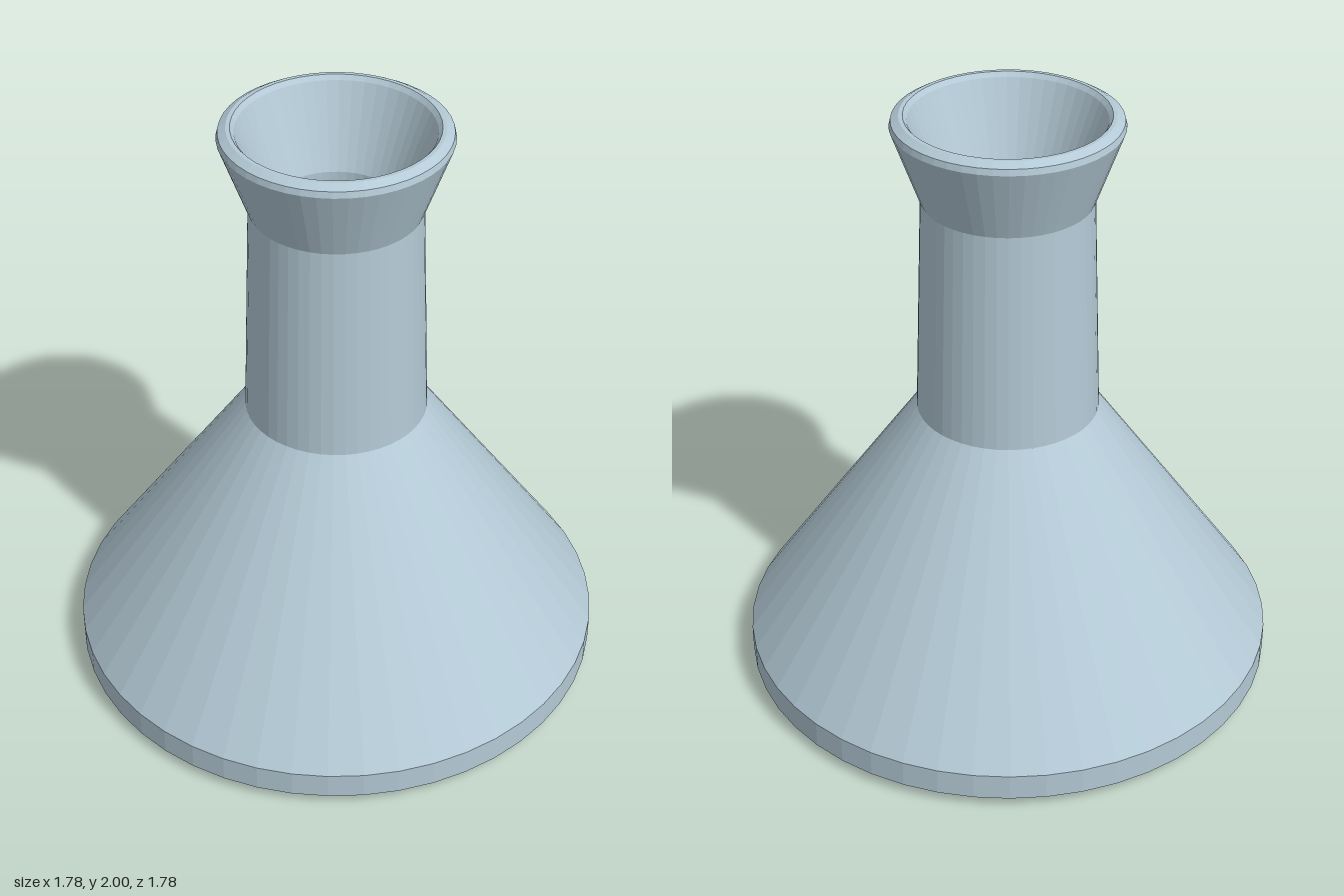
import * as THREE from 'three';

const SIDES = 48;

// Closed solid of revolution from [radius, height] pairs, listed up the outside
function lathe(name, profile, material) {
  const points = profile.map(([r, y]) => new THREE.Vector2(r, y));
  const mesh = new THREE.Mesh(new THREE.LatheGeometry(points, SIDES), material);
  mesh.name = name;
  return mesh;
}

export function createModel() {
  const glass = new THREE.MeshStandardMaterial({ color: 0xb4cad6, flatShading: true });
  glass.name = 'pale blue glass';
  const blue = new THREE.MeshStandardMaterial({ color: 0x0f9fd8, flatShading: true });
  blue.name = 'blue liquid';

  const flask = new THREE.Group();
  flask.name = 'conicalFlask';

  // Hollow glass: base, cone, neck and flared lip, then back down the inside
  flask.add(lathe('flaskBody', [
    [0, 0], [0.7, 0.01], [0.87, 0.02], [0.89, 0.035], [0.89, 0.125],
    [0.3, 0.97], [0.275, 1.715], [0.365, 1.965], [0.36, 1.985], [0.335, 2],
    [0.322, 2], [0.31, 1.985],
    [0.205, 1.715], [0.225, 0.95], [0.8, 0.13], [0.8, 0.07], [0, 0.07],
  ], glass));

  // Liquid filling the lower part of the cone
  flask.add(lathe('liquid', [
    [0, 0.08], [0.78, 0.08], [0.78, 0.13], [0.49, 0.55], [0, 0.55],
  ], blue));

  return flask;
}
